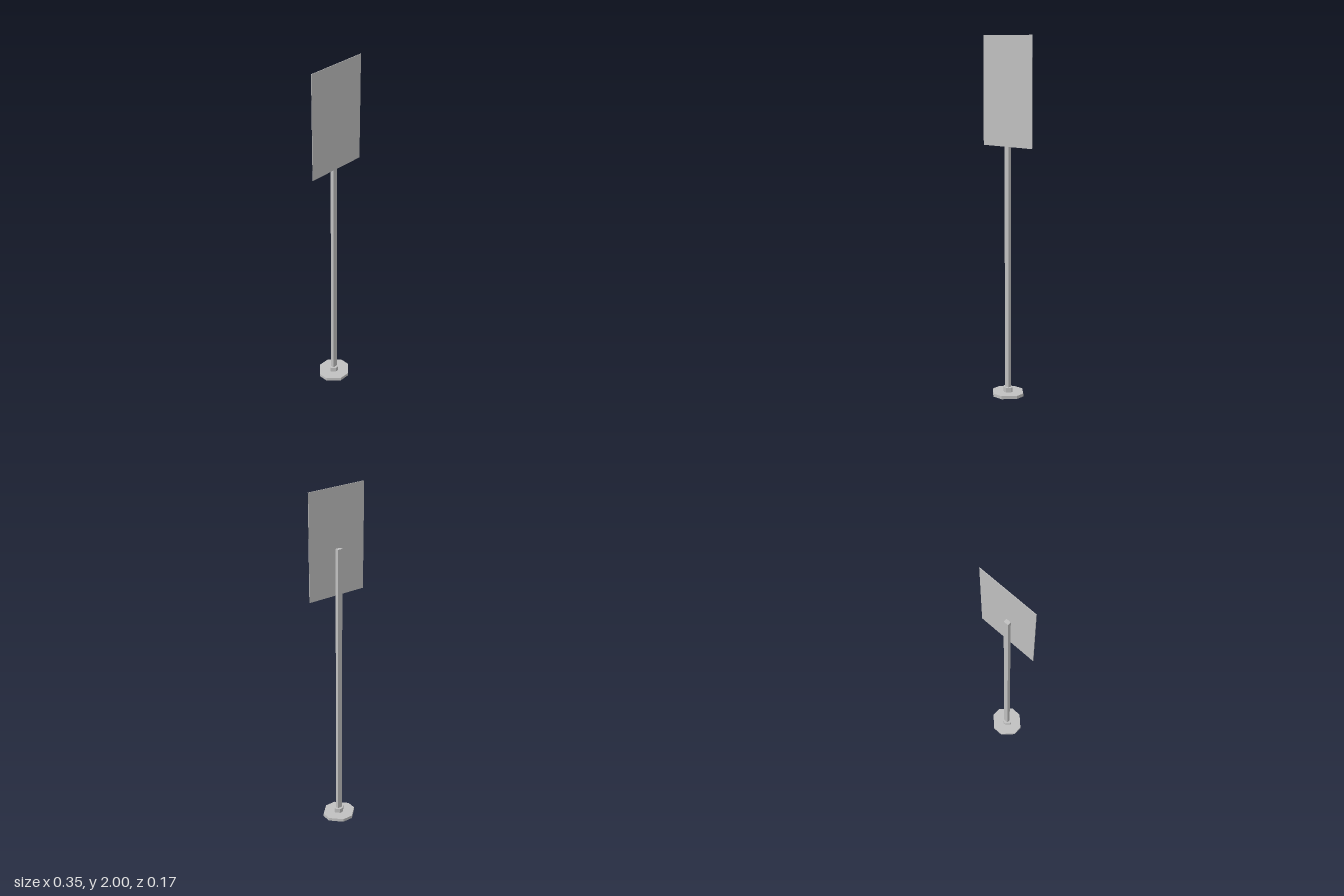
import * as THREE from 'three';

const grey = new THREE.MeshStandardMaterial({ color: 0xc0c0c0, side: THREE.DoubleSide });
grey.name = 'grey metal';

const POLE_X = -0.0075;
const POLE_W = 0.029;
const POLE_D = 0.02;

// Eight-sided plate with a socket for the pole, lying flat between y0 and y1
function octagonPlate(name, halfX, halfZ, flatX, flatZ, y0, y1) {
  const corners = [
    [halfX, -flatZ], [halfX, flatZ], [flatX, halfZ], [-flatX, halfZ],
    [-halfX, flatZ], [-halfX, -flatZ], [-flatX, -halfZ], [flatX, -halfZ],
  ];
  const shape = new THREE.Shape(corners.map(([x, y]) => new THREE.Vector2(x, y)));
  const w = POLE_W / 2, d = POLE_D / 2;
  shape.holes.push(new THREE.Path([
    new THREE.Vector2(-w, -d), new THREE.Vector2(-w, d),
    new THREE.Vector2(w, d), new THREE.Vector2(w, -d),
  ]));
  const geometry = new THREE.ExtrudeGeometry(shape, { depth: y1 - y0, bevelEnabled: false });
  geometry.rotateX(-Math.PI / 2);
  const mesh = new THREE.Mesh(geometry, grey);
  mesh.name = name;
  mesh.position.set(POLE_X, y0, -0.001);
  return mesh;
}

export function createModel() {
  const model = new THREE.Group();
  model.name = 'signpost';

  // Foot and the collar that holds the pole
  model.add(octagonPlate('base', 0.092, 0.087, 0.031, 0.027, 0, 0.018));
  model.add(octagonPlate('collar', 0.03, 0.0245, 0.009, 0.004, 0.018, 0.045));

  // Hollow pole, capped on top and open underneath
  const poleHeight = 1.668;
  const poleGeometry = new THREE.BoxGeometry(POLE_W, poleHeight, POLE_D);
  const index = Array.from(poleGeometry.index.array);
  index.splice(18, 6); // remove the bottom face
  poleGeometry.setIndex(index);
  poleGeometry.clearGroups();
  const pole = new THREE.Mesh(poleGeometry, grey);
  pole.name = 'pole';
  pole.position.set(POLE_X, poleHeight / 2, -0.001);
  model.add(pole);

  // Blank sign panel on the front of the pole
  const panel = new THREE.Mesh(new THREE.BoxGeometry(0.35, 0.595, 0.003), grey);
  panel.name = 'signPanel';
  panel.position.set(0, 1.7025, 0.0105);
  model.add(panel);

  return model;
}
